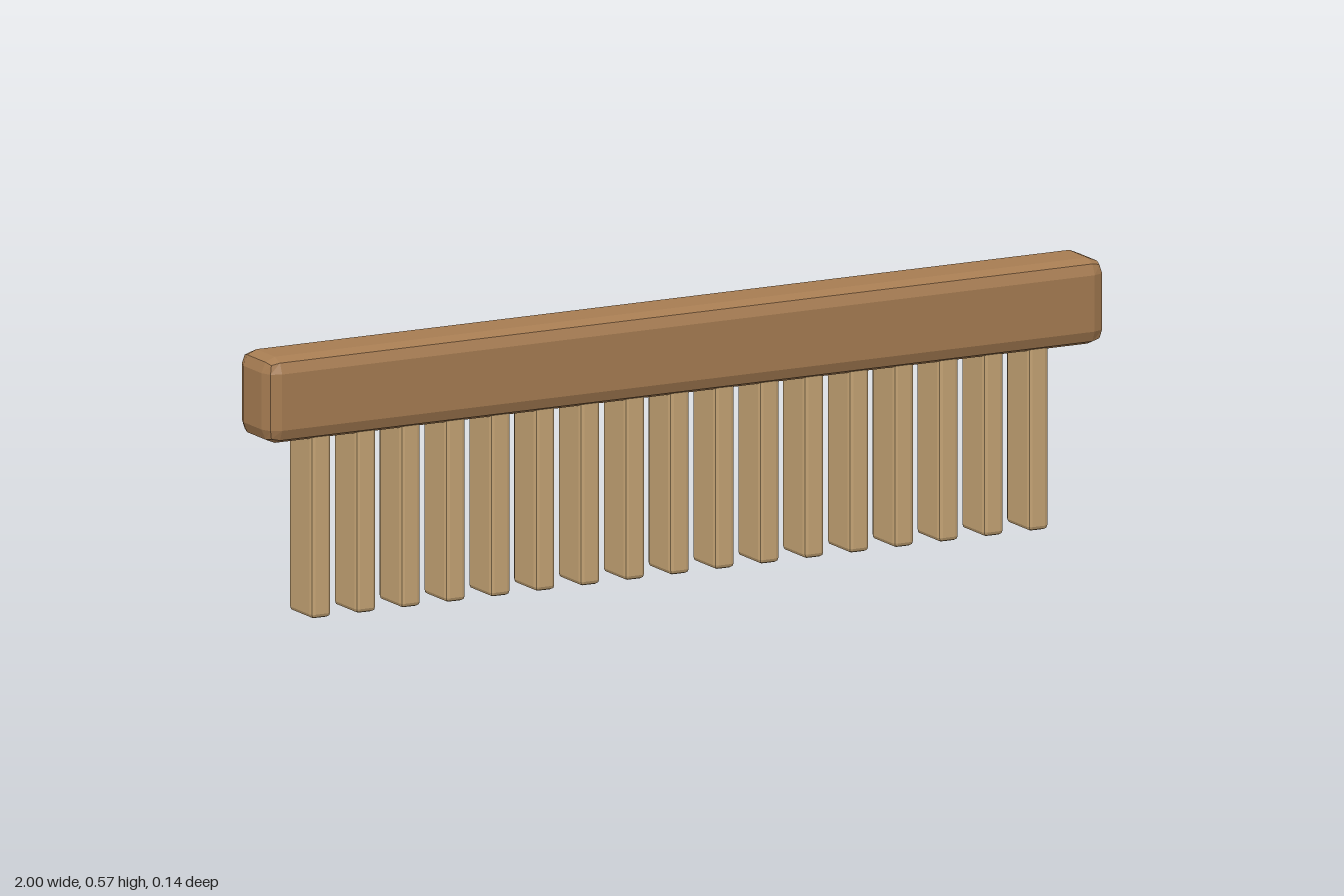
import * as THREE from 'three';

// Box with every edge cut by a two-step bevel of radius r
function bevelledBox(w, h, d, r) {
  const geo = new THREE.BoxGeometry(2, 2, 2, 3, 3, 3);
  const pos = geo.attributes.position;
  const p = new THREE.Vector3();
  const outward = (c) => (Math.abs(c) > 0.5 ? Math.sign(c) : 0);
  for (let i = 0; i < pos.count; i++) {
    p.fromBufferAttribute(pos, i);
    const dir = new THREE.Vector3(outward(p.x), outward(p.y), outward(p.z)).setLength(r);
    pos.setXYZ(
      i,
      Math.sign(p.x) * (w / 2 - r) + dir.x,
      Math.sign(p.y) * (h / 2 - r) + dir.y,
      Math.sign(p.z) * (d / 2 - r) + dir.z
    );
  }
  geo.computeVertexNormals();
  return geo;
}

export function createModel() {
  const model = new THREE.Group();
  model.name = 'comb';
  const beamMaterial = new THREE.MeshStandardMaterial({ color: 0xa67c52, flatShading: true });
  const toothMaterial = new THREE.MeshStandardMaterial({ color: 0xc4a374, flatShading: true });

  // Long top bar
  const beam = new THREE.Mesh(bevelledBox(2, 0.185, 0.144, 0.032), beamMaterial);
  beam.name = 'beam';
  beam.position.y = 0.4785;
  model.add(beam);

  // Evenly spaced teeth, sunk a little into the bar
  const teeth = new THREE.Group();
  teeth.name = 'teeth';
  const count = 17, spacing = 0.1068, height = 0.43;
  const toothGeometry = bevelledBox(0.048, height, 0.102, 0.009);
  for (let i = 0; i < count; i++) {
    const tooth = new THREE.Mesh(toothGeometry, toothMaterial);
    tooth.name = `tooth${i + 1}`;
    tooth.position.set(-0.008 + (i - (count - 1) / 2) * spacing, height / 2, 0);
    teeth.add(tooth);
  }
  model.add(teeth);

  return model;
}
